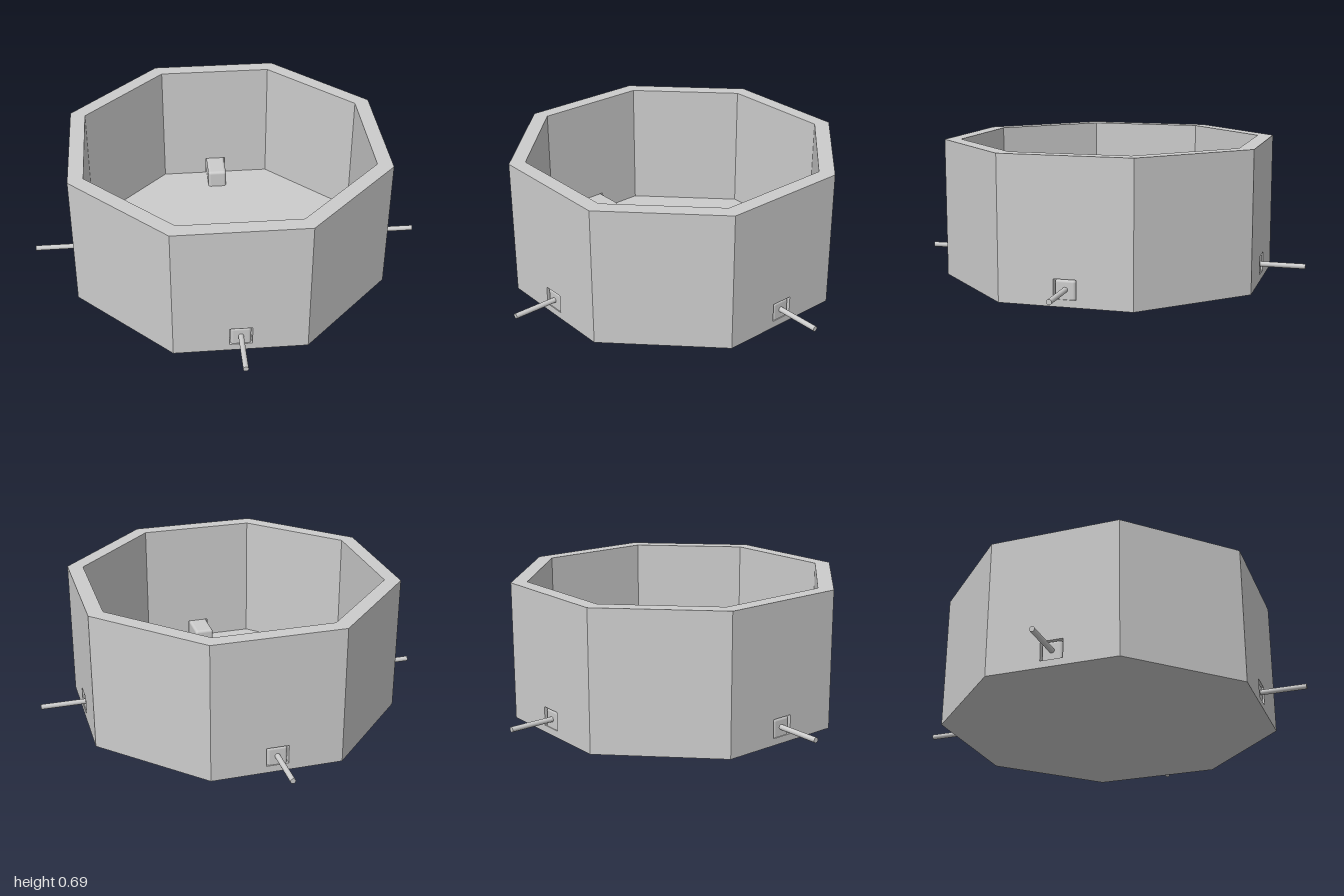
import * as THREE from 'three';
import { mergeGeometries } from 'three/addons/utils/BufferGeometryUtils.js';
import { RoundedBoxGeometry } from 'three/addons/geometries/RoundedBoxGeometry.js';

const OUTER = 0.78, INNER = 0.705, HEIGHT = 0.695, FLOOR = 0.035;
const SLOT_HALF = 0.055, SLOT_TOP = 0.13, AXLE_Y = 0.08;
const TAN = Math.tan(Math.PI / 8);

// Octagon with flat sides facing the axes
function octagon(apothem, PathType = THREE.Shape) {
  const r = apothem / Math.cos(Math.PI / 8);
  const points = [];
  for (let i = 0; i < 8; i++) {
    const a = (i + 0.5) * Math.PI / 4;
    points.push(new THREE.Vector2(r * Math.cos(a), r * Math.sin(a)));
  }
  return new PathType(points);
}

// One flat wall face, with a rectangular slot if wanted
function wallFace(apothem, bottom, slotted) {
  const w = apothem * TAN, s = SLOT_HALF;
  const shape = new THREE.Shape();
  shape.moveTo(-w, bottom);
  if (slotted && bottom === FLOOR) {
    shape.lineTo(-s, bottom).lineTo(-s, SLOT_TOP).lineTo(s, SLOT_TOP).lineTo(s, bottom);
  }
  shape.lineTo(w, bottom).lineTo(w, HEIGHT).lineTo(-w, HEIGHT).closePath();
  if (slotted && bottom < FLOOR) {
    shape.holes.push(new THREE.Path()
      .moveTo(-s, FLOOR).lineTo(-s, SLOT_TOP).lineTo(s, SLOT_TOP).lineTo(s, FLOOR).closePath());
  }
  return new THREE.ShapeGeometry(shape);
}

// Octagonal tub: walls, rim, floor and underside
function tubGeometry() {
  const parts = [];
  for (let i = 0; i < 8; i++) {
    const slotted = i % 2 === 0, turn = i * Math.PI / 4;
    parts.push(wallFace(OUTER, 0, slotted).translate(0, 0, OUTER).rotateY(turn));
    parts.push(wallFace(INNER, FLOOR, slotted).rotateY(Math.PI).translate(0, 0, INNER).rotateY(turn));
  }
  const rim = octagon(OUTER);
  rim.holes.push(octagon(INNER, THREE.Path));
  parts.push(new THREE.ShapeGeometry(rim).rotateX(-Math.PI / 2).translate(0, HEIGHT, 0));
  parts.push(new THREE.ShapeGeometry(octagon(INNER)).rotateX(-Math.PI / 2).translate(0, FLOOR, 0));
  parts.push(new THREE.ShapeGeometry(octagon(OUTER)).rotateX(Math.PI / 2));
  return mergeGeometries(parts);
}

export function createModel() {
  const model = new THREE.Group();
  const grey = new THREE.MeshStandardMaterial({ color: 0xcccccc });
  const greyOpen = new THREE.MeshStandardMaterial({
    color: 0xcccccc, flatShading: true, side: THREE.DoubleSide
  });
  const add = (parent, name, geometry, material = grey) => {
    const mesh = new THREE.Mesh(geometry, material);
    mesh.name = name;
    parent.add(mesh);
  };

  add(model, 'tub', tubGeometry());

  // Sleeve lining each slot through the wall
  const slotHeight = SLOT_TOP - FLOOR;
  const sleeve = new THREE.CylinderGeometry(Math.SQRT1_2, Math.SQRT1_2, OUTER - INNER, 4, 1, true)
    .rotateY(Math.PI / 4).rotateX(Math.PI / 2)
    .scale(SLOT_HALF * 2, slotHeight, 1)
    .translate(0, FLOOR + slotHeight / 2, (OUTER + INNER) / 2);

  // Rounded motor block resting on the floor and reaching into the slot
  const block = new RoundedBoxGeometry(0.1, 0.108, 0.22, 4, 0.015).translate(0, 0.074, 0.665);

  // Thin axle sticking out of the block
  const axle = new THREE.CylinderGeometry(0.013, 0.013, 0.25, 24)
    .rotateX(Math.PI / 2).translate(0, AXLE_Y, 0.875);

  ['front', 'left', 'back', 'right'].forEach((side, i) => {
    const drive = new THREE.Group();
    drive.name = side + 'Drive';
    drive.rotation.y = i * Math.PI / 2;
    add(drive, 'slotSleeve', sleeve, greyOpen);
    add(drive, 'motorBlock', block);
    add(drive, 'axle', axle);
    model.add(drive);
  });
  return model;
}
